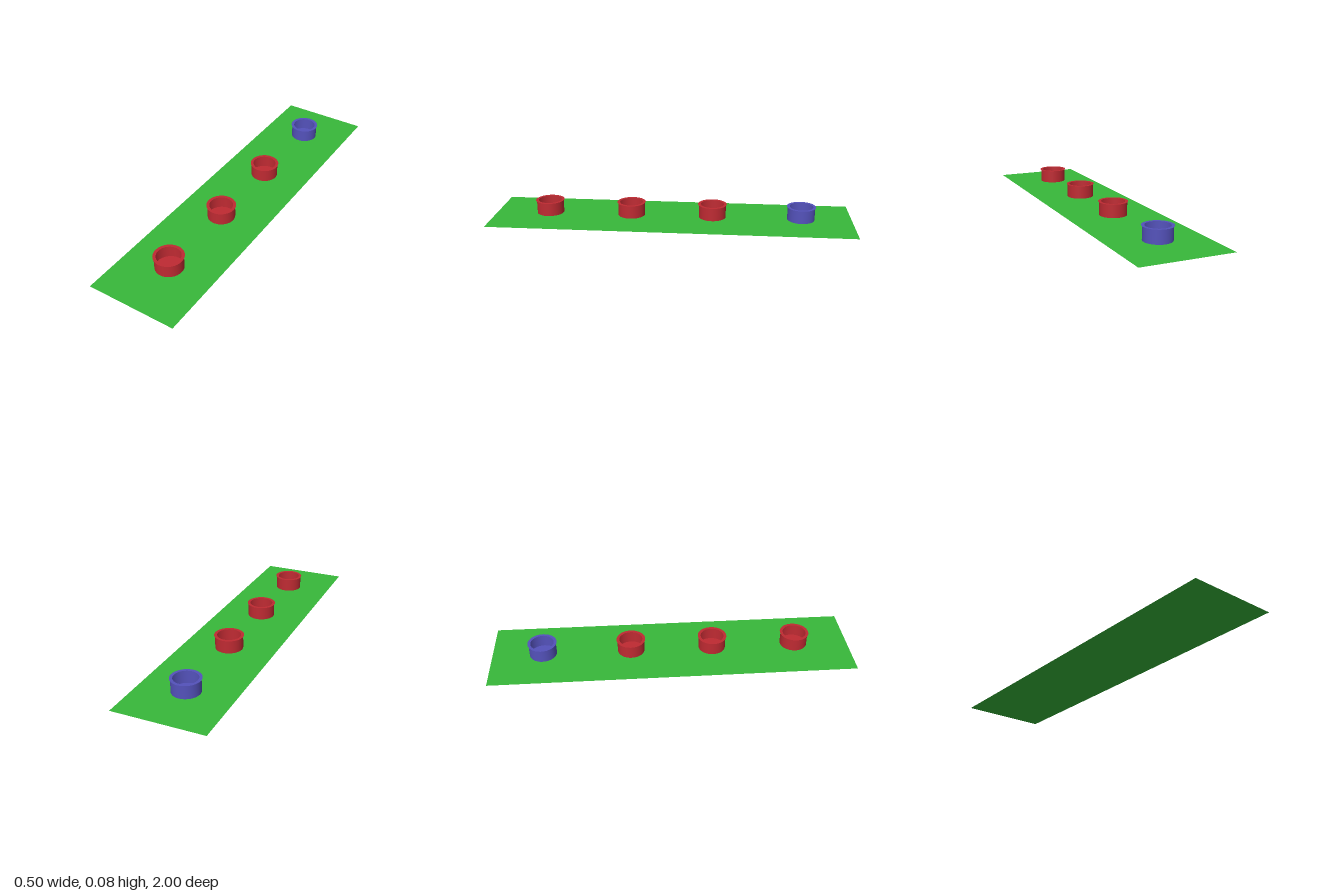
import * as THREE from 'three';

const SEGMENTS = 32;
const BOTTOM = 0.007;
const TOP = 0.081;
const WALL_RADIUS = 0.075;

function material(color) {
  return new THREE.MeshStandardMaterial({ color, side: THREE.DoubleSide });
}

function addPart(parent, name, geometry, mat, y) {
  const mesh = new THREE.Mesh(geometry, mat);
  mesh.name = name;
  mesh.position.y = y;
  parent.add(mesh);
}

// Open cup: thin round wall, floor disc and a flat overhanging rim
function createCup(name, mat, z) {
  const cup = new THREE.Group();
  cup.name = name;
  cup.position.z = z;
  const wall = new THREE.CylinderGeometry(WALL_RADIUS, WALL_RADIUS, TOP - BOTTOM, SEGMENTS, 1, true);
  const floor = new THREE.CircleGeometry(WALL_RADIUS, SEGMENTS).rotateX(-Math.PI / 2);
  const rim = new THREE.RingGeometry(0.064, 0.08, SEGMENTS).rotateX(-Math.PI / 2);
  addPart(cup, 'cupWall', wall, mat, (BOTTOM + TOP) / 2);
  addPart(cup, 'cupFloor', floor, mat, BOTTOM);
  addPart(cup, 'cupRim', rim, mat, TOP);
  return cup;
}

export function createModel() {
  const model = new THREE.Group();
  model.name = 'cupsOnMat';

  // Flat green sheet
  const sheet = new THREE.PlaneGeometry(0.496, 2).rotateX(-Math.PI / 2);
  addPart(model, 'groundSheet', sheet, material(0x38b83a), 0);

  // Three red cups and one blue cup in a row
  const red = material(0xbf2a32);
  const blue = material(0x5452bb);
  [0.692, 0.227, -0.227].forEach((z, i) => model.add(createCup(`redCup${i + 1}`, red, z)));
  model.add(createCup('blueCup', blue, -0.717));

  return model;
}
